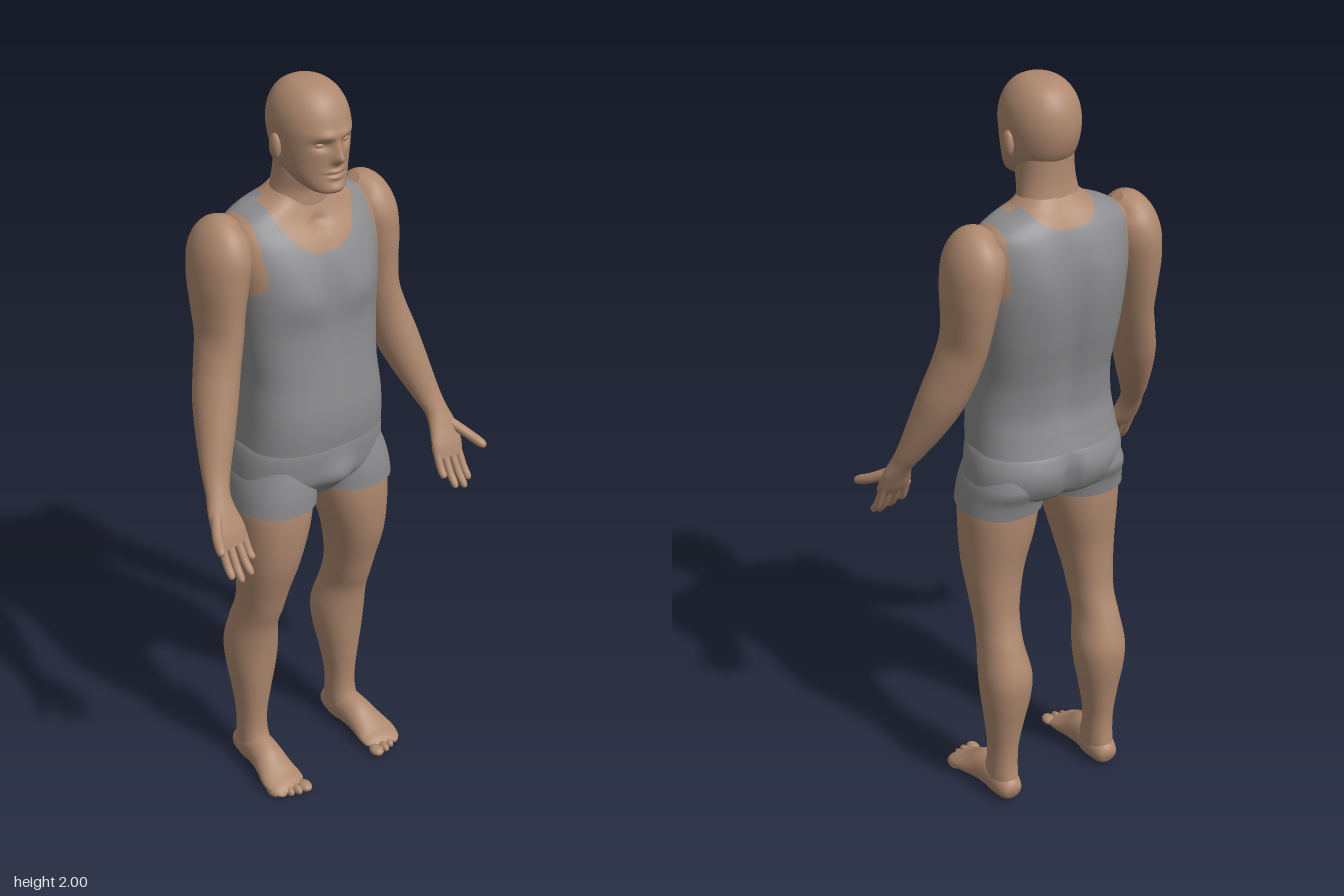
import * as THREE from 'three';

const skin = new THREE.MeshStandardMaterial({ color: 0xae886e });
skin.name = 'skin';
const cloth = new THREE.MeshStandardMaterial({ color: 0x8b8b8d });
cloth.name = 'greyCloth';

// Smooth sampling of a table of section rows.
function sampleRows(rows, count) {
  const at = (i) => rows[Math.min(Math.max(i, 0), rows.length - 1)];
  return Array.from({ length: count + 1 }, (_, k) => {
    const t = (k / count) * (rows.length - 1);
    const i = Math.min(Math.floor(t), rows.length - 2);
    const f = t - i;
    return at(i).map((b, c) => {
      const m0 = (at(i + 1)[c] - at(i - 1)[c]) / 2;
      const m1 = (at(i + 2)[c] - b) / 2;
      const d = at(i + 1)[c];
      return b + m0 * f + (3 * (d - b) - 2 * m0 - m1) * f * f + (2 * (b - d) + m0 + m1) * f * f * f;
    });
  });
}

// Builds a closed skin from rings; pick(point) gives the material group of a face.
function ringsToGeometry(rings, pick = () => 0) {
  const n = rings[0].length, pos = [], faces = [[], []];
  rings.flat().forEach((p) => pos.push(p.x, p.y, p.z));
  const add = (a, b, c) => {
    const mid = new THREE.Vector3();
    [a, b, c].forEach((i) => mid.add(new THREE.Vector3(pos[3 * i], pos[3 * i + 1], pos[3 * i + 2])));
    faces[pick(mid.divideScalar(3))].push(a, b, c);
  };
  for (let i = 0; i < rings.length - 1; i++) {
    for (let j = 0; j < n; j++) {
      const a = i * n + j, b = i * n + (j + 1) % n;
      add(a, b, a + n);
      add(b, b + n, a + n);
    }
  }
  // End caps with their own vertices
  [rings[0], rings[rings.length - 1]].forEach((ring, end) => {
    const start = pos.length / 3;
    const mid = ring.reduce((s, p) => s.add(p), new THREE.Vector3()).divideScalar(n);
    [...ring, mid].forEach((p) => pos.push(p.x, p.y, p.z));
    for (let j = 0; j < n; j++) {
      const a = start + j, b = start + (j + 1) % n;
      if (end) add(a, b, start + n); else add(b, a, start + n);
    }
  });
  const g = new THREE.BufferGeometry();
  g.setAttribute('position', new THREE.Float32BufferAttribute(pos, 3));
  g.setIndex([...faces[0], ...faces[1]]);
  g.addGroup(0, faces[0].length, 0);
  g.addGroup(faces[0].length, faces[1].length, 1);
  g.computeVertexNormals();
  return g;
}

const power = (v, n) => Math.sign(v) * Math.abs(v) ** (2 / n);

// Upright part from rows [y, back, front, zMin, zMax]; bumps [y, |z|, sizeY, sizeZ, amount, facing].
function upright(rows, { steps = 60, sides = 48, round = 2.2, bumps = [], pick } = {}) {
  const rings = sampleRows(rows, steps).map(([y, back, front, z0, z1]) =>
    Array.from({ length: sides }, (_, j) => {
      const a = (j / sides) * Math.PI * 2, c = Math.cos(a);
      let x = (back + front) / 2 + (front - back) / 2 * power(c, round);
      const z = (z0 + z1) / 2 + (z1 - z0) / 2 * power(Math.sin(a), round);
      for (const [by, bz, sy, sz, amount, facing] of bumps) {
        const w = Math.min(1, Math.max(0, c * facing) * 2);
        x += facing * w * amount * Math.exp(-(((y - by) / sy) ** 2) - ((Math.abs(z) - bz) / sz) ** 2);
      }
      return new THREE.Vector3(x, y, z);
    }));
  return ringsToGeometry(rings, pick);
}
const symmetric = (rows) => rows.map(([y, back, front, w]) => [y, back, front, -w, w]);

// Limb from rows [x, y, z, depth radius, side radius] with rings square to its path.
function limb(rows, steps = 40, sides = 28) {
  const s = sampleRows(rows, steps);
  const point = (r) => new THREE.Vector3(r[0], r[1], r[2]);
  return ringsToGeometry(s.map((r, i) => {
    const t = point(s[Math.min(i + 1, steps)]).sub(point(s[Math.max(i - 1, 0)])).normalize();
    const side = new THREE.Vector3(0, 0, 1).addScaledVector(t, -t.z).normalize();
    const front = side.clone().cross(t);
    return Array.from({ length: sides }, (_, j) => {
      const a = (j / sides) * Math.PI * 2;
      return point(r).addScaledVector(front, Math.cos(a) * r[3]).addScaledVector(side, Math.sin(a) * r[4]);
    });
  }));
}

// Tapered digit with a rounded tip through given points.
function digit(a, b, c, r) {
  const mix = (p, q, t) => p.map((v, i) => v + (q[i] - v) * t);
  return limb([[...a, r, r], [...b, r, r], [...mix(b, c, 0.7), r * 0.92, r * 0.92],
    [...mix(b, c, 0.94), r * 0.6, r * 0.6], [...c, 0.001, 0.001]], 16, 12);
}

function ellipsoid(x, y, z, a, b, c) {
  return new THREE.SphereGeometry(1, 20, 14).scale(a, b, c).translate(x, y, z);
}

function mirrored(geometry) {
  const g = geometry.clone().scale(1, 1, -1);
  const ix = g.index.array;
  for (let i = 0; i < ix.length; i += 3) [ix[i], ix[i + 1]] = [ix[i + 1], ix[i]];
  g.computeVertexNormals();
  return g;
}

export function createModel() {
  const model = new THREE.Group();
  const part = (name, geometry, material = skin) => {
    const m = new THREE.Mesh(geometry, material);
    m.name = name;
    model.add(m);
  };
  const pair = (name, geometry, material) => {
    part(name + 'A', geometry, material);
    part(name + 'B', mirrored(geometry), material);
  };

  // Head with brow, sockets, nose, lips and chin
  part('head', upright(symmetric([
    [2.0, -0.022, -0.018, 0.002], [1.994, -0.065, 0.03, 0.04], [1.973, -0.1, 0.065, 0.067],
    [1.94, -0.121, 0.088, 0.085], [1.9, -0.13, 0.1, 0.092], [1.86, -0.127, 0.1, 0.09],
    [1.82, -0.112, 0.097, 0.084], [1.79, -0.085, 0.096, 0.076], [1.765, -0.045, 0.098, 0.063],
    [1.745, 0.005, 0.098, 0.044], [1.737, 0.04, 0.085, 0.02]]), {
    steps: 90, sides: 128, round: 2.1, bumps: [
      [1.83, 0, 0.014, 0.014, 0.02, 1], [1.85, 0, 0.022, 0.01, 0.014, 1],
      [1.89, 0.025, 0.012, 0.03, 0.007, 1], [1.866, 0.036, 0.012, 0.018, -0.013, 1],
      [1.797, 0, 0.006, 0.022, 0.008, 1], [1.782, 0, 0.006, 0.02, 0.007, 1],
      [1.79, 0, 0.003, 0.022, -0.005, 1], [1.755, 0, 0.012, 0.025, 0.008, 1]] }));
  pair('eyelid', ellipsoid(0.075, 1.866, 0.036, 0.011, 0.008, 0.014));
  pair('ear', ellipsoid(-0.022, 1.845, 0.093, 0.019, 0.033, 0.012).rotateY(0));
  part('neck', upright(symmetric([
    [1.83, -0.105, 0.03, 0.07], [1.77, -0.106, 0.028, 0.072], [1.72, -0.113, 0.012, 0.078],
    [1.67, -0.13, 0.012, 0.092], [1.63, -0.13, 0.0, 0.09]])));

  // Torso: the tank top leaves the neckline and shoulder caps bare
  const torsoColour = ({ x, y, z }) => {
    const w = Math.abs(z);
    const low = x > -0.07 ? 1.58 : 1.655;
    const bareNeck = w < 0.118 && y > low + 0.09 * (w / 0.118) ** 3;
    const bareShoulder = w > 0.168 && y > 1.48 + (0.2 - w);
    return bareNeck || bareShoulder ? 0 : 1;
  };
  part('torso', upright(symmetric([
    [1.72, -0.115, 0.0, 0.075], [1.697, -0.132, 0.006, 0.105], [1.675, -0.15, 0.014, 0.16],
    [1.645, -0.168, 0.03, 0.198], [1.6, -0.184, 0.062, 0.207], [1.54, -0.195, 0.088, 0.206],
    [1.46, -0.196, 0.1, 0.199], [1.37, -0.184, 0.104, 0.191], [1.3, -0.168, 0.11, 0.185],
    [1.236, -0.155, 0.118, 0.181], [1.157, -0.148, 0.128, 0.188], [1.1, -0.158, 0.129, 0.194],
    [1.052, -0.17, 0.124, 0.199]]), {
    steps: 140, sides: 128, round: 2.5, pick: torsoColour, bumps: [
      [1.47, 0.085, 0.06, 0.065, 0.013, 1], [1.48, 0, 0.1, 0.02, -0.005, 1],
      [1.35, 0, 0.12, 0.02, -0.006, 1], [1.64, 0, 0.015, 0.02, -0.012, 1],
      [1.36, 0, 0.26, 0.04, -0.02, -1], [1.53, 0.1, 0.09, 0.05, 0.006, -1]] }), [skin, cloth]);

  // Shorts: hips plus two open-looking legs
  part('shortsHips', upright(symmetric([
    [1.062, -0.155, 0.113, 0.195], [1.04, -0.168, 0.117, 0.205], [1.0, -0.175, 0.114, 0.212],
    [0.95, -0.162, 0.105, 0.212], [0.915, -0.135, 0.08, 0.19], [0.885, -0.07, 0.06, 0.07]]), {
    sides: 96, round: 2.4, bumps: [
      [0.96, 0, 0.045, 0.045, 0.022, 1], [0.97, 0, 0.08, 0.02, -0.022, -1],
      [0.98, 0.09, 0.05, 0.06, 0.006, -1]] }), cloth);
  pair('shortsLeg', upright([
    [1.0, -0.15, 0.09, 0.04, 0.2], [0.96, -0.155, 0.1, 0.018, 0.216],
    [0.92, -0.138, 0.106, 0.014, 0.224], [0.878, -0.128, 0.108, 0.016, 0.229]], { round: 2.3 }), cloth);

  // Legs
  pair('leg', upright([
    [0.95, -0.115, 0.09, 0.03, 0.2], [0.88, -0.12, 0.1, 0.023, 0.221], [0.8, -0.115, 0.1, 0.036, 0.222],
    [0.7, -0.102, 0.086, 0.064, 0.217], [0.6, -0.102, 0.054, 0.085, 0.208], [0.54, -0.112, 0.036, 0.092, 0.204],
    [0.48, -0.134, 0.014, 0.094, 0.207], [0.4, -0.158, 0.0, 0.081, 0.215], [0.33, -0.154, -0.008, 0.085, 0.212],
    [0.25, -0.138, -0.017, 0.101, 0.201], [0.17, -0.124, -0.025, 0.115, 0.192], [0.11, -0.121, -0.022, 0.117, 0.191],
    [0.06, -0.126, 0.0, 0.116, 0.193], [0.02, -0.12, 0.0, 0.12, 0.19]], { steps: 70 }));

  // Feet: rows [x, y, z, half height, half width]
  pair('foot', limb([
    [-0.135, 0.034, 0.155, 0.004, 0.005], [-0.128, 0.036, 0.155, 0.026, 0.026], [-0.1, 0.042, 0.155, 0.042, 0.037],
    [-0.05, 0.052, 0.156, 0.052, 0.041], [0.0, 0.048, 0.159, 0.048, 0.044], [0.04, 0.036, 0.163, 0.036, 0.05],
    [0.08, 0.024, 0.166, 0.024, 0.057], [0.11, 0.017, 0.163, 0.017, 0.053], [0.125, 0.013, 0.16, 0.008, 0.04]]));
  [[0.132, 0.126, 0.018], [0.129, 0.152, 0.011], [0.121, 0.173, 0.011], [0.111, 0.192, 0.011], [0.098, 0.21, 0.012]]
    .forEach(([x, z, w], i) => pair('toe' + i, ellipsoid(x, 0.013, z, 0.024, 0.013, w)));

  // Arms down to the open palm
  pair('arm', limb([
    [-0.075, 1.664, 0.185, 0.02, 0.02], [-0.075, 1.64, 0.204, 0.072, 0.056], [-0.075, 1.59, 0.222, 0.098, 0.069],
    [-0.072, 1.52, 0.233, 0.098, 0.066], [-0.066, 1.44, 0.239, 0.089, 0.056], [-0.056, 1.37, 0.245, 0.08, 0.051],
    [-0.042, 1.3, 0.262, 0.072, 0.053], [-0.018, 1.22, 0.286, 0.064, 0.055], [0.014, 1.14, 0.311, 0.051, 0.048],
    [0.05, 1.06, 0.337, 0.034, 0.037], [0.076, 1.015, 0.35, 0.026, 0.032], [0.1, 0.975, 0.355, 0.022, 0.04],
    [0.125, 0.93, 0.352, 0.018, 0.047], [0.142, 0.898, 0.349, 0.01, 0.04]], 80, 36));

  // Fingers and thumb
  [[0.315, 0.168, 0.856, 0.312], [0.337, 0.192, 0.83, 0.333], [0.36, 0.194, 0.821, 0.363], [0.383, 0.183, 0.833, 0.385]]
    .forEach(([z, x, y, tip], i) => pair('finger' + i, digit([0.122, 0.93, z],
      [(0.14 + x) / 2 - 0.006, (0.9 + y) / 2, (z + tip) / 2], [x, y, tip], 0.0105)));
  pair('thumb', digit([0.095, 0.985, 0.37], [0.145, 0.952, 0.403], [0.197, 0.927, 0.426], 0.0135));

  return model;
}
